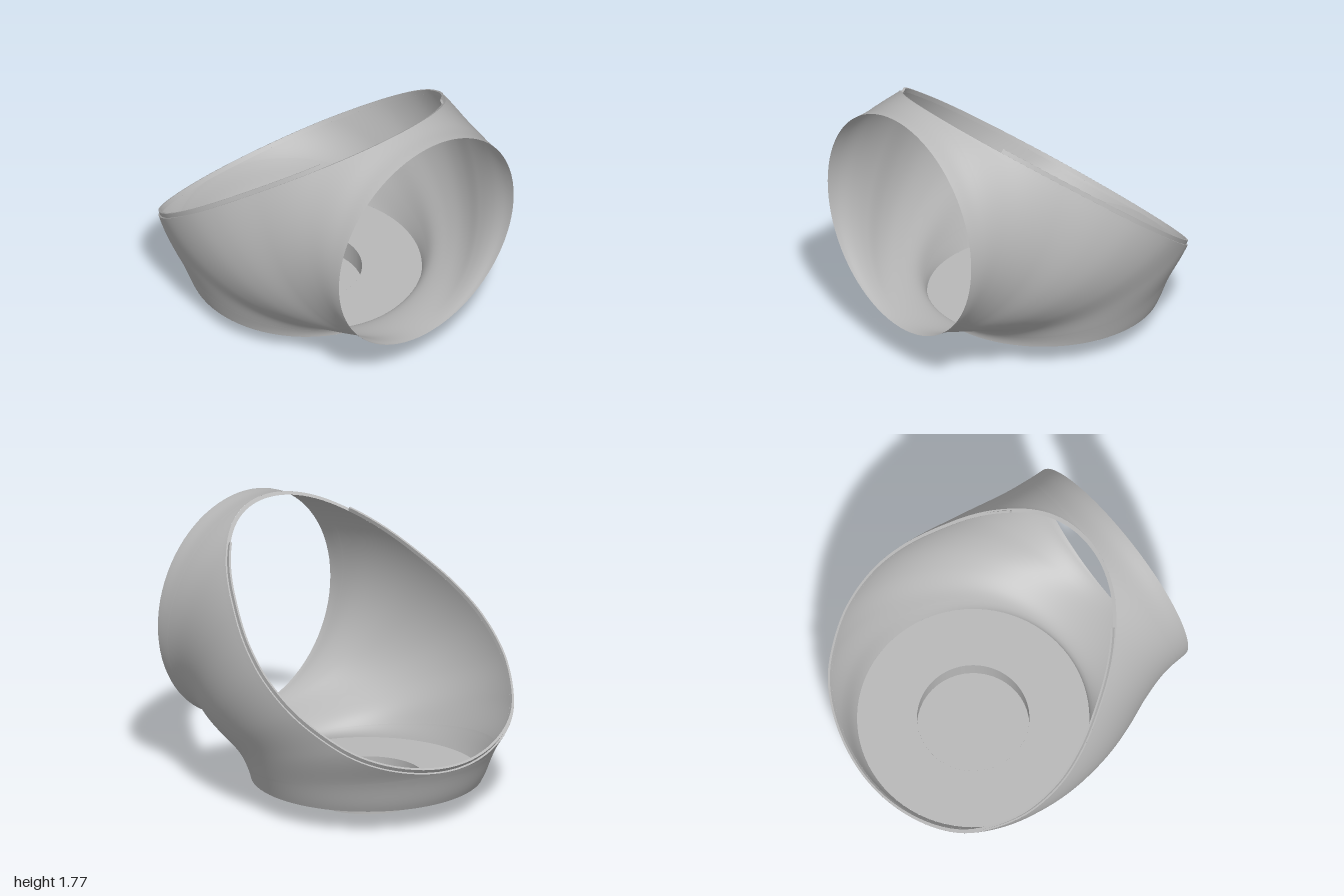
import * as THREE from 'three';
import { mergeVertices } from 'three/addons/utils/BufferGeometryUtils.js';

const BASE_Y = 0.145, BASE_Z = -0.153, RADIUS = 0.733, CUP_R = 0.355;
// slope and centre of the slanted opening plane
const SLOPE = 0.775, OPEN_Y = 1.07, OPEN_Z = -0.11;
const RAD = Math.PI / 180;

// smooth interpolation through [angle, value] pairs
function smooth(table) {
  const slope = table.map((p, i) => {
    const a = table[Math.max(i - 1, 0)], b = table[Math.min(i + 1, table.length - 1)];
    return (b[1] - a[1]) / (b[0] - a[0]);
  });
  return (v) => {
    let i = 0;
    while (i < table.length - 2 && v > table[i + 1][0]) i++;
    const [x0, y0] = table[i], [x1, y1] = table[i + 1], h = x1 - x0;
    const t = (v - x0) / h, t2 = t * t, t3 = t2 * t;
    return (2 * t3 - 3 * t2 + 1) * y0 + (t3 - 2 * t2 + t) * h * slope[i]
      + (3 * t2 - 2 * t3) * y1 + (t3 - t2) * h * slope[i + 1];
  };
}

// surface through rows of points
function grid(rows) {
  const n = rows[0].length, index = [];
  for (let i = 0; i < rows.length - 1; i++) {
    for (let j = 0; j < n - 1; j++) {
      const a = i * n + j, b = a + n;
      index.push(a, b, a + 1, a + 1, b, b + 1);
    }
  }
  let g = new THREE.BufferGeometry();
  g.setAttribute('position', new THREE.Float32BufferAttribute(rows.flat(2), 3));
  g.setIndex(index);
  g = mergeVertices(g, 1e-5);
  g.computeVertexNormals();
  return g;
}

// The elbow is a fan of elliptical sections, turning from the upright front
// ring (0 degrees) to the flat base ring (90), cut off by the slanted plane.
const halfHeight = smooth([[0, 0.735], [4, 0.7415], [8, 0.76], [15, 0.8], [20, 0.838], [30, 0.925], [45, 1.065],
  [55, 1.12], [65, 1.095], [75, 0.965], [83, 0.803], [90, RADIUS]]);
const halfWidth = smooth([[0, RADIUS], [15, 0.755], [30, 0.822], [45, 0.912], [55, 0.944], [65, 0.924], [75, 0.848],
  [83, 0.783], [90, RADIUS]]);

function section(deg) {
  const s = Math.sin(deg * RAD), c = Math.cos(deg * RAD);
  // rounded inner bend
  const r0 = Math.pow(Math.pow(Math.abs(c) / 0.13, 2.4) + Math.pow(s / 0.42, 2.4), -1 / 2.4);
  const a = halfHeight(deg), w = halfWidth(deg);
  const cut = 1.787 / (c + SLOPE * s);
  const end = Math.acos(Math.max(-1, 1 - (cut - r0) / a));
  const point = (t) => {
    const r = r0 + a * (1 - Math.cos(t));
    return [w * Math.sin(t), BASE_Y + r * c, 1 - r * s];
  };
  return { end, point, open: cut < r0 + 2 * a };
}

// angle at which sections start being cut
function crossing(closed, open) {
  for (let i = 0; i < 40; i++) {
    const mid = (closed + open) / 2;
    if (section(mid).open) open = mid; else closed = mid;
  }
  return open;
}
const FIRST = crossing(0, 30), LAST = crossing(90, 70);

// eased steps between two angles, dense at both ends
function eased(from, to, n) {
  return Array.from({ length: n + 1 }, (_, i) => from + (to - from) * (1 - Math.cos(Math.PI * i / n)) / 2);
}

function shellGeometry() {
  const angles = [];
  for (let i = 0; i < 8; i++) angles.push(FIRST * i / 8);
  angles.push(...eased(FIRST, LAST, 72));
  for (let i = 1; i <= 8; i++) angles.push(LAST + (90 - LAST) * i / 8);
  return grid(angles.map((deg) => {
    const { end, point } = section(deg);
    return Array.from({ length: 81 }, (_, j) => point(end * (j / 40 - 1)));
  }));
}

// point on the opening's edge, moved inward by d and lifted off its plane by h
function edgePoint(deg, side, [d, h]) {
  const { end, point } = section(deg);
  const [x, y, z] = point(end), k = 1 - d;
  return [side * x * k, OPEN_Y + (y - OPEN_Y) * k + 0.79 * h, OPEN_Z + (z - OPEN_Z) * k - 0.613 * h];
}

// strip along the edge, down one side, round the back and up the other
function edgeStrip(from, p, q) {
  const down = eased(from, LAST, 60);
  const path = [...down.map((deg) => [deg, 1]), ...down.reverse().map((deg) => [deg, -1])];
  return grid(path.map(([deg, side]) => [edgePoint(deg, side, p), edgePoint(deg, side, q)]));
}

export function createModel() {
  const model = new THREE.Group();
  const grey = new THREE.MeshStandardMaterial({ color: 0xb8b8b8, side: THREE.DoubleSide });
  grey.name = 'plain grey';
  const add = (name, geometry, parent = model) => {
    const mesh = new THREE.Mesh(geometry, grey);
    mesh.name = name;
    parent.add(mesh);
    return mesh;
  };

  add('shell', shellGeometry());

  // flat rim around the slanted opening
  add('openingRim', edgeStrip(FIRST, [0, 0], [0.025, 0]));

  // raised lip standing on the rim, stopping short of the top
  const lip = new THREE.Group();
  lip.name = 'openingLip';
  model.add(lip);
  const lipStart = 15.5;
  const profile = [[0.011, 0], [0.011, 0.028], [0.025, 0.028], [0.025, 0]];
  for (let i = 0; i < 3; i++) add('lipSide', edgeStrip(lipStart, profile[i], profile[i + 1]), lip);
  for (const side of [1, -1]) {
    const [a, b, c, d] = profile.map((p) => edgePoint(lipStart, side, p));
    add('lipEnd', grid([[a, b], [d, c]]), lip);
  }

  // floor with a round socket below it
  const floor = add('floor', new THREE.RingGeometry(CUP_R, RADIUS, 72, 1));
  floor.rotation.x = -Math.PI / 2;
  floor.position.set(0, BASE_Y, BASE_Z);
  const wall = add('socketWall', new THREE.CylinderGeometry(CUP_R, CUP_R, BASE_Y, 48, 1, true));
  wall.position.set(0, BASE_Y / 2, BASE_Z);
  const bottom = add('socketBottom', new THREE.CircleGeometry(CUP_R, 48));
  bottom.rotation.x = -Math.PI / 2;
  bottom.position.set(0, 0, BASE_Z);

  return model;
}
